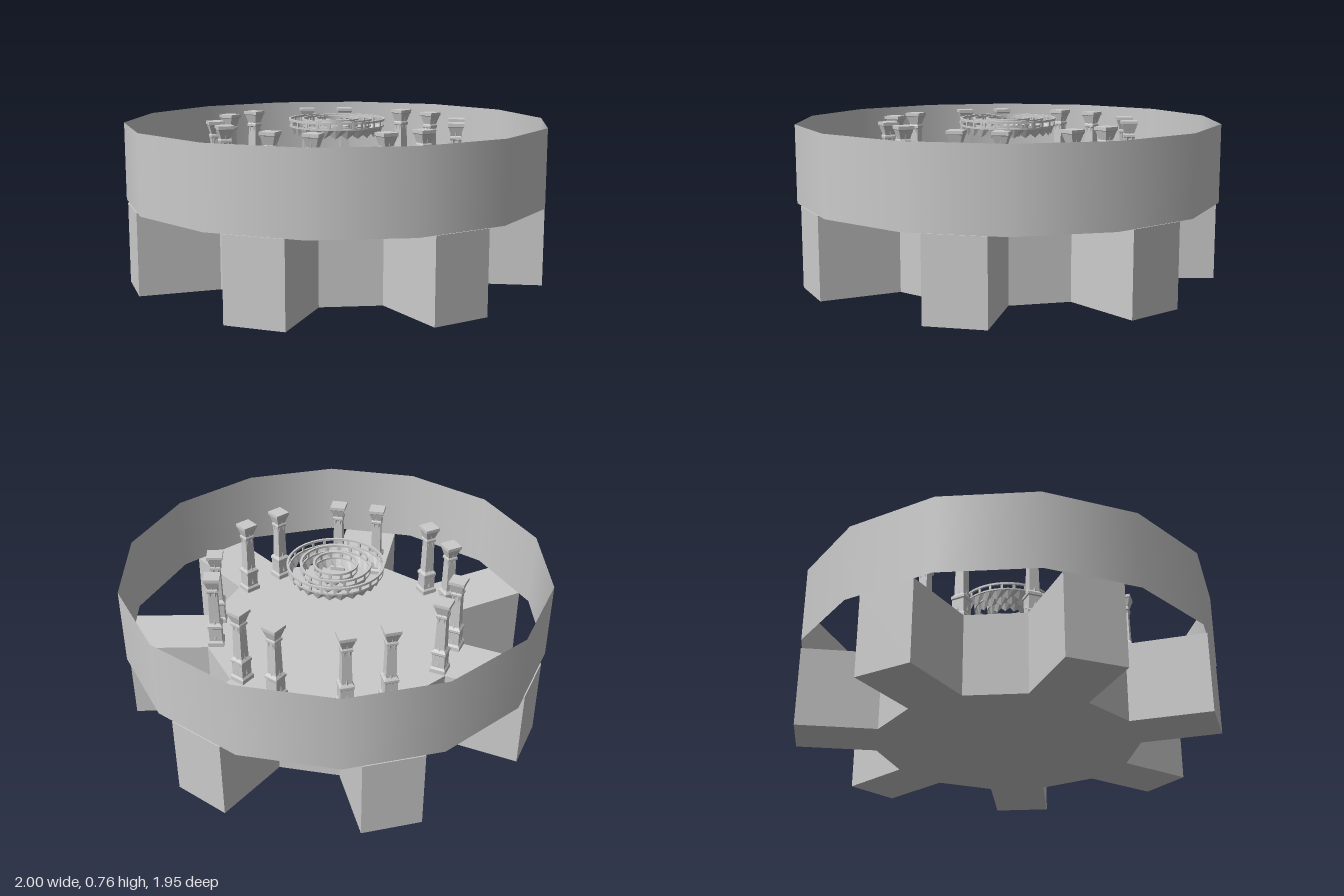
import * as THREE from 'three';

const TEETH = 7;
const FLOOR = 0.38;
const flat = new THREE.MeshStandardMaterial({ color: 0xcccccc, flatShading: true });
const thin = new THREE.MeshStandardMaterial({ color: 0xcccccc, flatShading: true, side: THREE.DoubleSide });
const smooth = new THREE.MeshStandardMaterial({ color: 0xcccccc, side: THREE.DoubleSide });

function add(parent, name, geometry, material) {
  const mesh = new THREE.Mesh(geometry, material);
  mesh.name = name;
  parent.add(mesh);
  return mesh;
}

// Solid floor with seven rectangular arms
function baseGeometry() {
  const corners = [];
  for (let k = 0; k < TEETH; k++) {
    const turn = (k * 2 * Math.PI) / TEETH;
    for (const [x, y] of [[0.137, 0.607], [0.137, 0.98], [-0.137, 0.98], [-0.137, 0.607]]) {
      corners.push(new THREE.Vector2(x, y).rotateAround(new THREE.Vector2(), turn));
    }
  }
  const geometry = new THREE.ExtrudeGeometry(new THREE.Shape(corners), { depth: FLOOR, bevelEnabled: false });
  return geometry.rotateX(-Math.PI / 2);
}

// Four-sided turned profile: [half width, height]
function squareLathe(profile) {
  const points = profile.map(([half, y]) => new THREE.Vector2(half * Math.SQRT2, y));
  return new THREE.LatheGeometry(points, 4, Math.PI / 4);
}

const columnProfile = squareLathe([
  [0, 0], [0.037, 0], [0.037, 0.02], [0.03, 0.03], [0.03, 0.095], [0.034, 0.1], [0.034, 0.112],
  [0.024, 0.125], [0.021, 0.29], [0.026, 0.295], [0.026, 0.305], [0.022, 0.312],
  [0.034, 0.352], [0.0375, 0.355], [0.0375, 0.37], [0, 0.37],
]);
const leaf = new THREE.ConeGeometry(0.011, 0.04, 4);

function column() {
  const group = new THREE.Group();
  group.name = 'column';
  add(group, 'columnShaft', columnProfile, flat);
  // Carved leaves on each face
  for (let side = 0; side < 4; side++) {
    const face = new THREE.Group();
    face.name = 'carvedFace';
    face.rotation.y = (side * Math.PI) / 2;
    for (const [x, y, z, down] of [[0, 0.325, 0.024, 1], [-0.012, 0.275, 0.02, 1], [0.012, 0.275, 0.02, 1],
      [0, 0.14, 0.022, 0], [0, 0.06, 0.028, 0]]) {
      const mesh = add(face, 'leaf', leaf, flat);
      mesh.position.set(x, y, z);
      mesh.scale.z = 0.6;
      mesh.rotation.x = down ? Math.PI : 0;
    }
    group.add(face);
  }
  return group;
}

// Thin hoop with a rectangular section
function hoop(radius, y, height, width) {
  const a = radius - width / 2, b = radius + width / 2;
  const section = [[a, y], [b, y], [b, y + height], [a, y + height], [a, y]];
  return new THREE.LatheGeometry(section.map(p => new THREE.Vector2(...p)), 48);
}

// Tapered band whose lower edge is a zigzag of points
function pointedBand(radius, top, height, points) {
  const geometry = new THREE.CylinderGeometry(radius, radius - 0.016, height, points * 2, 1, true);
  const pos = geometry.attributes.position;
  const row = points * 2 + 1;
  for (let i = 0; i < row; i += 2) pos.setY(row + i, -height * 0.1);
  geometry.translate(0, top - height / 2, 0);
  geometry.computeVertexNormals();
  return geometry;
}

function tier(radius, top, points) {
  const group = new THREE.Group();
  group.name = 'hangingTier';
  add(group, 'upperHoop', hoop(radius, top - 0.01, 0.01, 0.01), flat);
  add(group, 'lowerHoop', hoop(radius - 0.002, top - 0.038, 0.008, 0.008), flat);
  add(group, 'pointedBand', pointedBand(radius - 0.002, top - 0.034, 0.045, points), thin);
  // Little posts between the hoops
  const post = new THREE.BoxGeometry(0.012, 0.022, 0.006);
  for (let i = 0; i < points; i++) {
    const angle = (i * 2 * Math.PI) / points;
    const mesh = add(group, 'post', post, flat);
    mesh.position.set(Math.sin(angle) * (radius - 0.001), top - 0.02, Math.cos(angle) * (radius - 0.001));
    mesh.rotation.y = angle;
  }
  return group;
}

export function createModel() {
  const model = new THREE.Group();
  model.name = 'columnedArena';

  add(model, 'armedBase', baseGeometry(), flat);

  // Fourteen-sided open wall around the arms
  const wall = add(model, 'outerWall', new THREE.CylinderGeometry(1, 1, 0.365, 14, 1, true), smooth);
  wall.position.y = FLOOR + 0.1825;
  wall.rotation.y = Math.PI / 2;

  // A pair of columns at the root of each arm
  for (let k = 0; k < TEETH; k++) {
    const pair = new THREE.Group();
    pair.name = 'columnPair';
    pair.rotation.y = (k * 2 * Math.PI) / TEETH;
    for (const side of [-1, 1]) {
      const pillar = column();
      pillar.position.set(side * 0.0995, FLOOR, -0.5675);
      pair.add(pillar);
    }
    model.add(pair);
  }

  // Concentric hanging tiers in the centre
  const chandelier = new THREE.Group();
  chandelier.name = 'chandelier';
  for (const [radius, points] of [[0.223, 24], [0.162, 18], [0.1, 12]]) {
    chandelier.add(tier(radius, 0.756, points));
  }
  model.add(chandelier);

  return model;
}
